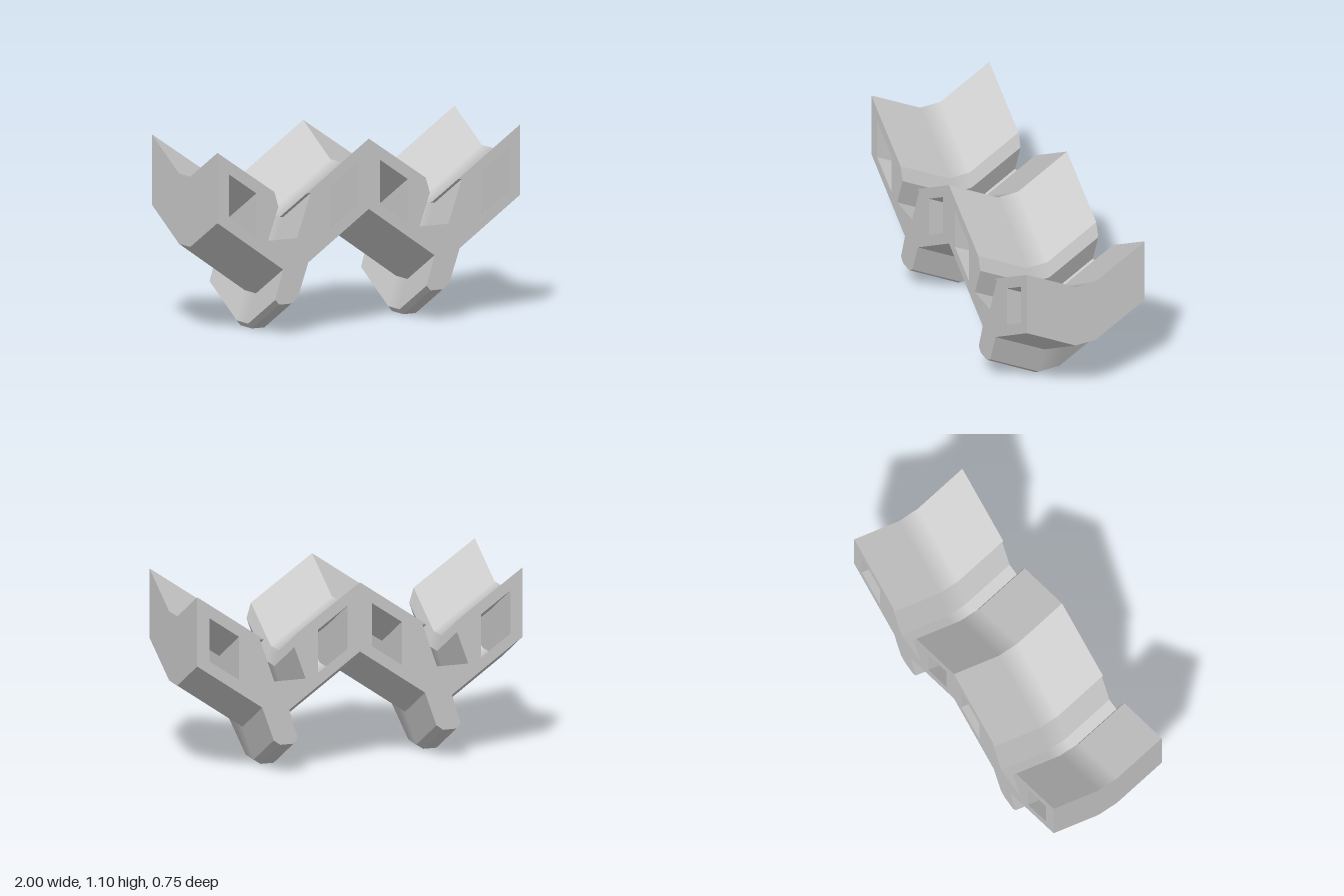
import * as THREE from 'three';

const HALF_DEPTH = 0.377, FLAT = 0.065, RISE = 0.183;
const SLOPE = RISE / (HALF_DEPTH - FLAT);
const CENTRES = [-0.5, 0.5];

// One repeat of the outline, x measured from the middle of the repeat
const TOP = [[-0.5, 1.098], [-0.124, 0.84], [-0.097, 0.752], [-0.166, 0.56], [0.026, 0.56],
  [0.115, 0.814], [0.09, 0.814], [0.5, 1.098]];
const BOTTOM = [[0.5, 0.69], [0.1, 0.412], [0.03, 0.213], [-0.011, 0.183], [-0.092, 0.183],
  [-0.118, 0.213], [-0.066, 0.385], [-0.5, 0.69]];
// Slanted window, counter-clockwise, and its mirror image for the other arm
const WINDOW = [[-0.425, 0.714], [-0.243, 0.588], [-0.243, 0.842], [-0.425, 0.968]];
const MIRRORED_WINDOW = WINDOW.map(([x, y]) => [-x, y]).reverse();

const place = (points, cx) => points.map(([x, y]) => new THREE.Vector2(cx + x, y - RISE));

function createProfile() {
  const [a, b] = CENTRES;
  const shape = new THREE.Shape([
    ...place(TOP, a), ...place(TOP, b).slice(1),
    ...place(BOTTOM, b), ...place(BOTTOM, a).slice(1),
  ]);
  for (const cx of CENTRES) {
    for (const hole of [WINDOW, MIRRORED_WINDOW]) shape.holes.push(new THREE.Path(place(hole, cx)));
  }
  return shape;
}

// Sweep the profile along z, dipping to a flat middle section with soft bends
function createChevronSweep(shape) {
  const geometry = new THREE.ExtrudeGeometry(shape, {
    depth: 2 * HALF_DEPTH, steps: 3, bevelEnabled: false,
  });
  const pos = geometry.attributes.position, normal = geometry.attributes.normal;
  const n = new THREE.Vector3();
  for (let i = 0; i < pos.count; i++) {
    let z = pos.getZ(i) - HALF_DEPTH;
    const dir = Math.sign(z);
    if (Math.abs(z) < HALF_DEPTH - 0.01) z = dir * FLAT;
    pos.setY(i, pos.getY(i) + SLOPE * (Math.abs(z) - FLAT));
    pos.setZ(i, z);
    // Tilt the wall normals with the slope; the flat middle blends between both sides
    n.fromBufferAttribute(normal, i);
    n.z -= n.y * SLOPE * dir;
    n.normalize();
    normal.setXYZ(i, n.x, n.y, n.z);
  }
  return geometry;
}

export function createModel() {
  const grey = new THREE.MeshStandardMaterial({ color: 0xcacaca });
  grey.name = 'grey';
  const group = new THREE.Group();
  group.name = 'chevronClipStrip';
  const body = new THREE.Mesh(createChevronSweep(createProfile()), grey);
  body.name = 'clipBody';
  group.add(body);
  return group;
}
